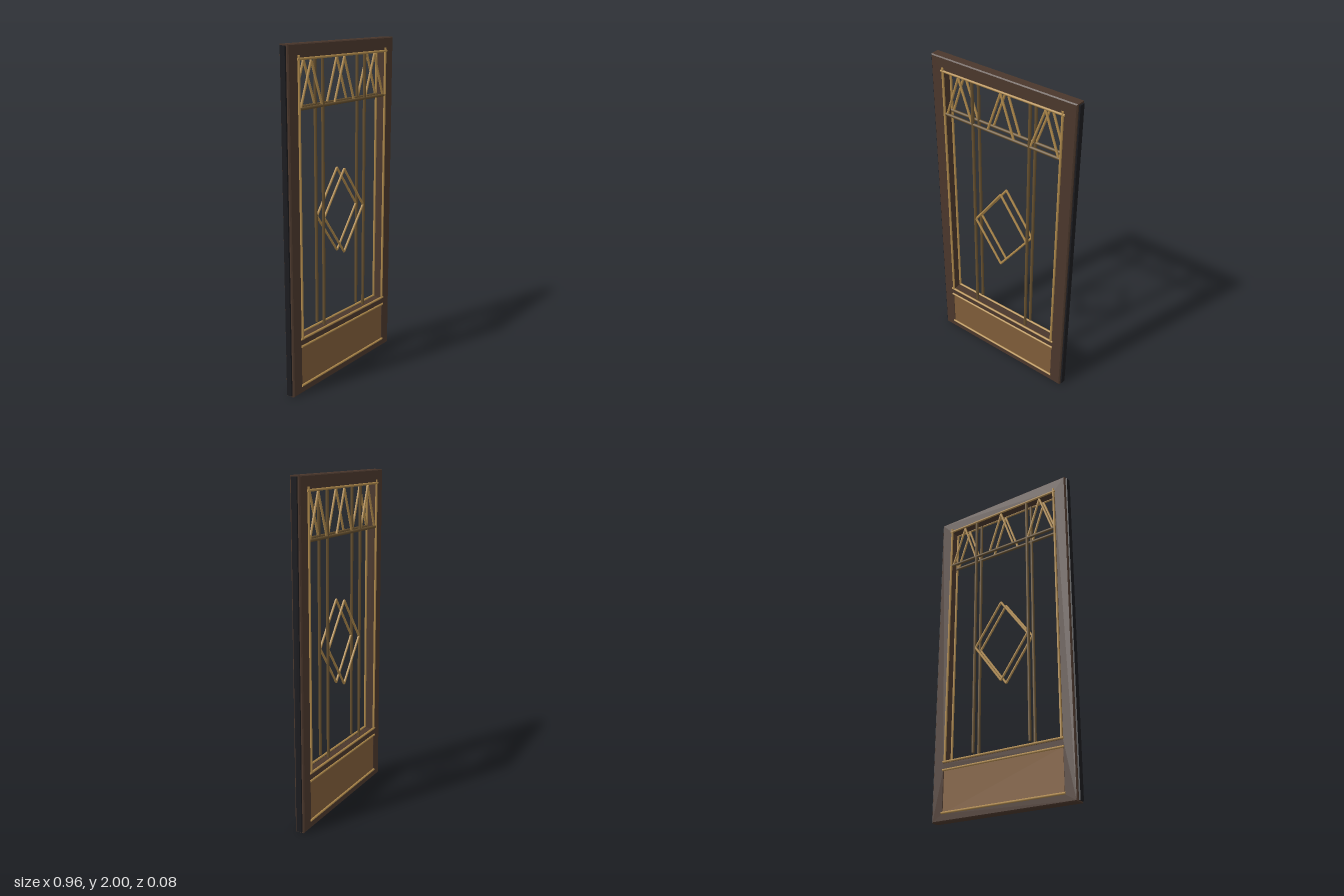
import * as THREE from 'three';

const mat = (name, color) => {
  const m = new THREE.MeshStandardMaterial({ color });
  m.name = name;
  return m;
};

export function createModel() {
  const door = new THREE.Group();
  door.name = 'door';
  const wood = mat('dark wood', 0x4a372c);
  const panelWood = mat('panel wood', 0x7f5c39);
  const brass = mat('brass', 0xb08a4c);
  const bronze = mat('dark bronze', 0x66502f);
  const seal = mat('black edge', 0x1b1b1f);

  const add = (parent, name, geometry, material, x = 0, y = 0, z = 0) => {
    const mesh = new THREE.Mesh(geometry, material);
    mesh.name = name;
    mesh.position.set(x, y, z);
    parent.add(mesh);
    return mesh;
  };

  // Rectangle as a path, for the frame outline and its openings
  const rect = (path, w, y0, y1) => {
    path.moveTo(-w, y0);
    path.lineTo(w, y0);
    path.lineTo(w, y1);
    path.lineTo(-w, y1);
    path.closePath();
    return path;
  };

  // Bevelled frame with a tall opening above and a panel opening below
  const outline = rect(new THREE.Shape(), 0.473, 0, 2);
  outline.holes.push(rect(new THREE.Path(), 0.395, 0.34, 1.92));
  outline.holes.push(rect(new THREE.Path(), 0.395, 0.05, 0.293));
  const frame = new THREE.ExtrudeGeometry(outline, {
    depth: 0.05, bevelThickness: 0.006, bevelSize: 0.006, bevelOffset: -0.006, bevelSegments: 1,
  });
  frame.translate(0, 0, -0.025);
  add(door, 'frame', frame, wood);

  // Lower panel
  add(door, 'lowerPanel', new THREE.BoxGeometry(0.8, 0.25, 0.056), panelWood, 0, 0.1715, 0);

  // Dark strips down both outer edges
  for (const s of [-1, 1]) {
    add(door, 'edgeStrip', new THREE.BoxGeometry(0.014, 1.985, 0.034), seal, s * 0.475, 1, 0);
  }

  // Round bar between two points in the plane of one face
  const bar = (parent, name, x0, y0, x1, y1, z, r, material) => {
    const dir = new THREE.Vector3(x1 - x0, y1 - y0, 0);
    const mesh = add(parent, name, new THREE.CylinderGeometry(r, r, dir.length(), 8), material,
      (x0 + x1) / 2, (y0 + y1) / 2, z);
    mesh.quaternion.setFromUnitVectors(new THREE.Vector3(0, 1, 0), dir.normalize());
  };

  // The same metalwork on the front and the back
  for (const side of [1, -1]) {
    const grille = new THREE.Group();
    grille.name = side > 0 ? 'frontMetalwork' : 'backMetalwork';
    door.add(grille);
    const zTrim = side * 0.032, zBar = side * 0.027;

    // Trim around the openings
    for (const y of [0.05, 0.297, 0.345, 1.92]) {
      bar(grille, 'horizontalTrim', -0.405, y, 0.405, y, zTrim, 0.007, brass);
    }
    for (const s of [-1, 1]) {
      bar(grille, 'verticalTrim', s * 0.392, 0.345, s * 0.392, 1.94, zTrim, 0.007, brass);
      bar(grille, 'verticalBar', s * 0.192, 0.365, s * 0.192, 1.92, zBar, 0.009, bronze);
    }
    bar(grille, 'transomBar', -0.392, 1.66, 0.392, 1.66, zBar, 0.009, bronze);

    // Three triangles across the top
    for (const cx of [-0.287, 0, 0.287]) {
      for (const s of [-1, 1]) {
        bar(grille, 'triangleBar', cx + s * 0.088, 1.665, cx, 1.91, zBar, 0.007, brass);
      }
    }

    // Central diamond
    for (const s of [-1, 1]) {
      for (const y of [0.765, 1.272]) {
        bar(grille, 'diamondBar', s * 0.186, 1.018, 0, y, zBar, 0.007, brass);
      }
    }
  }
  return door;
}
